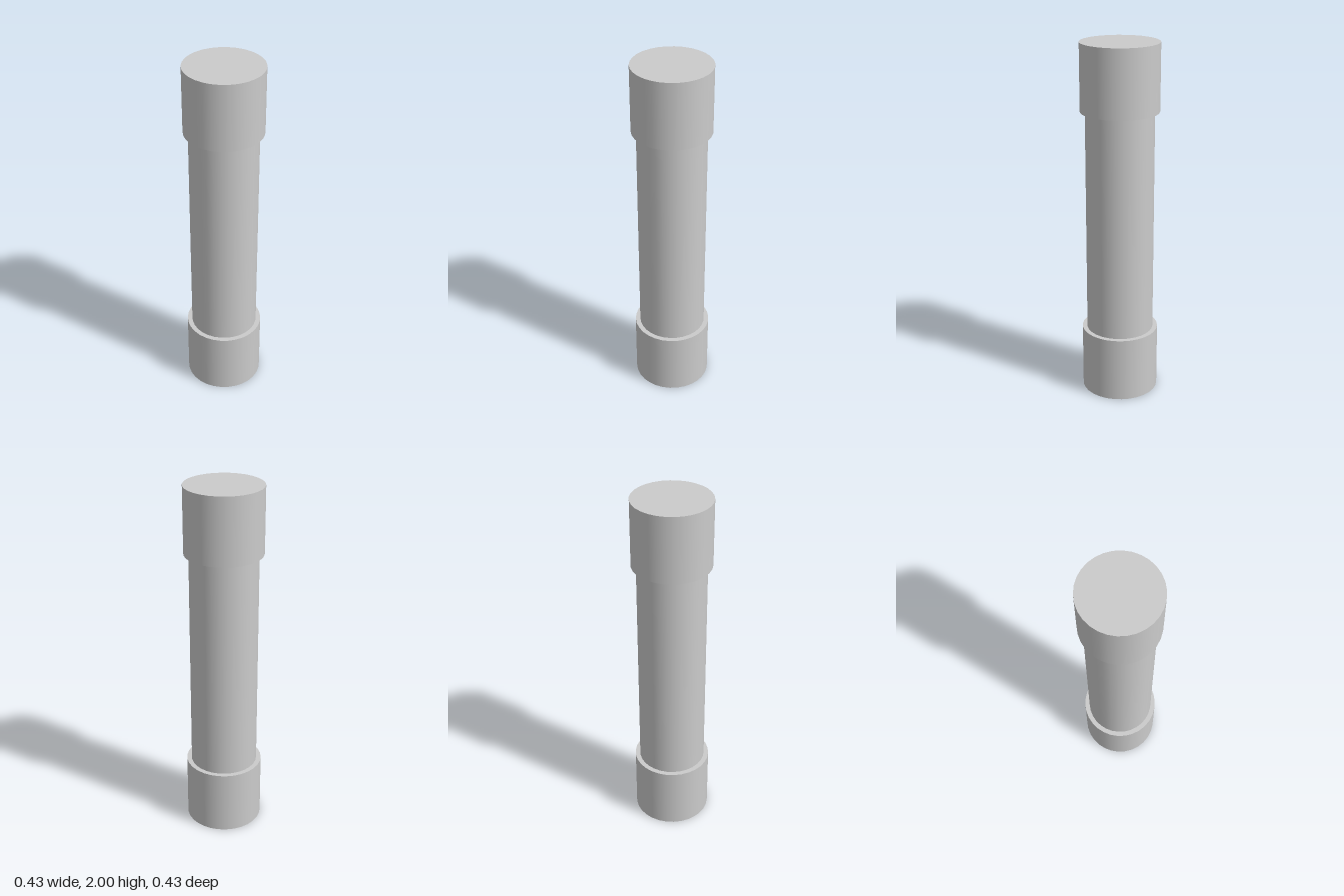
import * as THREE from 'three';

const SIDES = 30;
const CAP_RADIUS = 0.215;
const CAP_HEIGHT = 0.37;
const TUBE_RADIUS = 0.188;

export function createModel() {
  const group = new THREE.Group();
  const material = new THREE.MeshStandardMaterial({ color: 0xcccccc });

  const addCylinder = (name, radius, bottom, top, open) => {
    const geometry = new THREE.CylinderGeometry(radius, radius, top - bottom, SIDES, 1, open);
    const mesh = new THREE.Mesh(geometry, material);
    mesh.name = name;
    mesh.position.y = (bottom + top) / 2;
    group.add(mesh);
  };

  // Two closed end caps
  addCylinder('bottomCap', CAP_RADIUS, 0, CAP_HEIGHT, false);
  addCylinder('topCap', CAP_RADIUS, 2 - CAP_HEIGHT, 2, false);

  // Slimmer tube between the caps
  addCylinder('tube', TUBE_RADIUS, CAP_HEIGHT, 2 - CAP_HEIGHT, true);

  return group;
}
